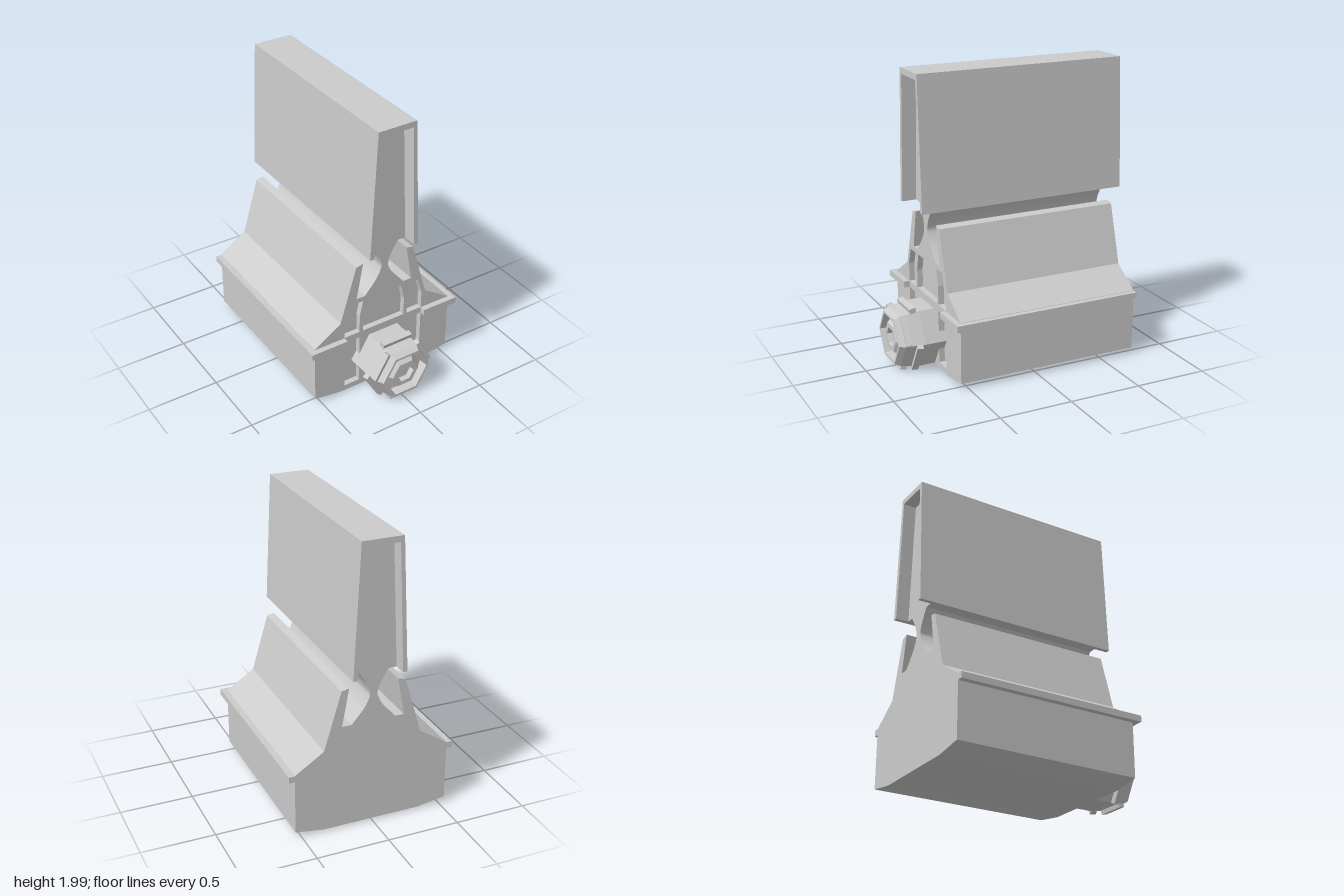
import * as THREE from 'three';

const material = new THREE.MeshStandardMaterial({ color: 0xcccccc, flatShading: true });

function addMesh(parent, name, geometry) {
  const mesh = new THREE.Mesh(geometry, material);
  mesh.name = name;
  parent.add(mesh);
  return mesh;
}

const toVectors = (pts) => pts.map(([x, y]) => new THREE.Vector2(x, y));

// Mirrors a right-hand outline (bottom to top) into a closed symmetric one
const mirrored = (half) => [...half, ...half.map(([x, y]) => [-x, y]).reverse()];

// Extrudes an outline between two z positions
function slab(outline, z0, z1, holes = []) {
  const shape = new THREE.Shape(toVectors(outline));
  shape.holes = holes.map((h) => new THREE.Path(toVectors(h)));
  const geometry = new THREE.ExtrudeGeometry(shape, { depth: z1 - z0, bevelEnabled: false });
  return geometry.translate(0, 0, z0);
}

function box(x0, x1, y0, y1, z0, z1) {
  return new THREE.BoxGeometry(x1 - x0, y1 - y0, z1 - z0)
    .translate((x0 + x1) / 2, (y0 + y1) / 2, (z0 + z1) / 2);
}

export function createModel() {
  const model = new THREE.Group();
  model.name = 'finnedHousing';

  // Body section: base, shoulders, upright flanges, waisted neck and fin core
  const neck = new THREE.SplineCurve(toVectors([
    [0.153, 0.75], [0.07, 0.845], [0.03, 0.92], [0.028, 0.96], [0.05, 1.02], [0.1, 1.1],
  ])).getPoints(15).map((p) => [p.x, p.y]);
  const section = mirrored([
    [0.34, 0.02], [0.54, 0.05], [0.54, 0.47], [0.34, 0.6], [0.222, 1.0],
    [0.17, 1.012], [0.217, 0.75], ...neck, [0.156, 1.1], [0.116, 1.96],
  ]);
  addMesh(model, 'body', slab(section, -0.74, 0.51));

  // Front plate with recessed panels
  const panels = [mirrored([[0.165, 0.47], [0.165, 0.6], [0.14, 0.715]])];
  for (const s of [-1, 1]) {
    panels.push(
      [[0.19, 0.06], [0.31, 0.06], [0.31, 0.425], [0.19, 0.425]].map(([x, y]) => [s * x, y]),
      [[0.19, 0.47], [0.31, 0.47], [0.31, 0.6], [0.275, 0.715], [0.165, 0.715], [0.19, 0.6]]
        .map(([x, y]) => [s * x, y]),
    );
  }
  addMesh(model, 'frontPanelFrame', slab(section, 0.51, 0.55, panels));

  // Fin cover wrapping the core, open below and overhanging both ends
  addMesh(model, 'finCover', slab([
    [0.155, 1.1], [0.185, 1.1], [0.14, 2], [-0.14, 2], [-0.185, 1.1], [-0.155, 1.1],
    [-0.115, 1.96], [0.115, 1.96],
  ], -0.83, 0.65));

  // Side ledges returning around the front corners
  for (const s of [-1, 1]) {
    const ledge = new THREE.Group();
    ledge.name = s > 0 ? 'leftLedge' : 'rightLedge';
    const span = (a, b) => (s > 0 ? [a, b] : [-b, -a]);
    addMesh(ledge, 'sideRail', box(...span(0.53, 0.58), 0.425, 0.468, -0.74, 0.59));
    addMesh(ledge, 'frontReturn', box(...span(0.31, 0.53), 0.425, 0.468, 0.545, 0.59));
    model.add(ledge);
  }

  // Hexagonal nozzle: tapered shell, dished face and raised hollow hub
  const nozzle = new THREE.Group();
  nozzle.name = 'nozzle';
  nozzle.position.set(0, 0.22, 0);
  const profile = toVectors([
    [0.226, 0.5], [0.226, 0.66], [0.205, 0.79], [0.183, 0.83], [0.165, 0.83], [0.16, 0.765],
    [0.15, 0.765], [0.1, 0.82], [0.066, 0.82], [0.06, 0.785], [0, 0.785],
  ]);
  addMesh(nozzle, 'nozzleShell',
    new THREE.LatheGeometry(profile, 6, Math.PI / 2).rotateX(Math.PI / 2));

  // Clamp plates, alternating between a rear and a front row
  for (let i = 0; i < 6; i++) {
    const rear = i % 2 === 0;
    const arm = new THREE.Group();
    arm.name = 'clampPlateMount';
    arm.rotation.z = i * Math.PI / 3;
    const plate = addMesh(arm, 'clampPlate',
      new THREE.BoxGeometry(rear ? 0.225 : 0.2, 0.034, 0.042));
    plate.position.set(0, rear ? 0.204 : 0.19, rear ? 0.7 : 0.77);
    plate.rotation.x = 0.22;
    nozzle.add(arm);
  }
  model.add(nozzle);

  return model;
}
